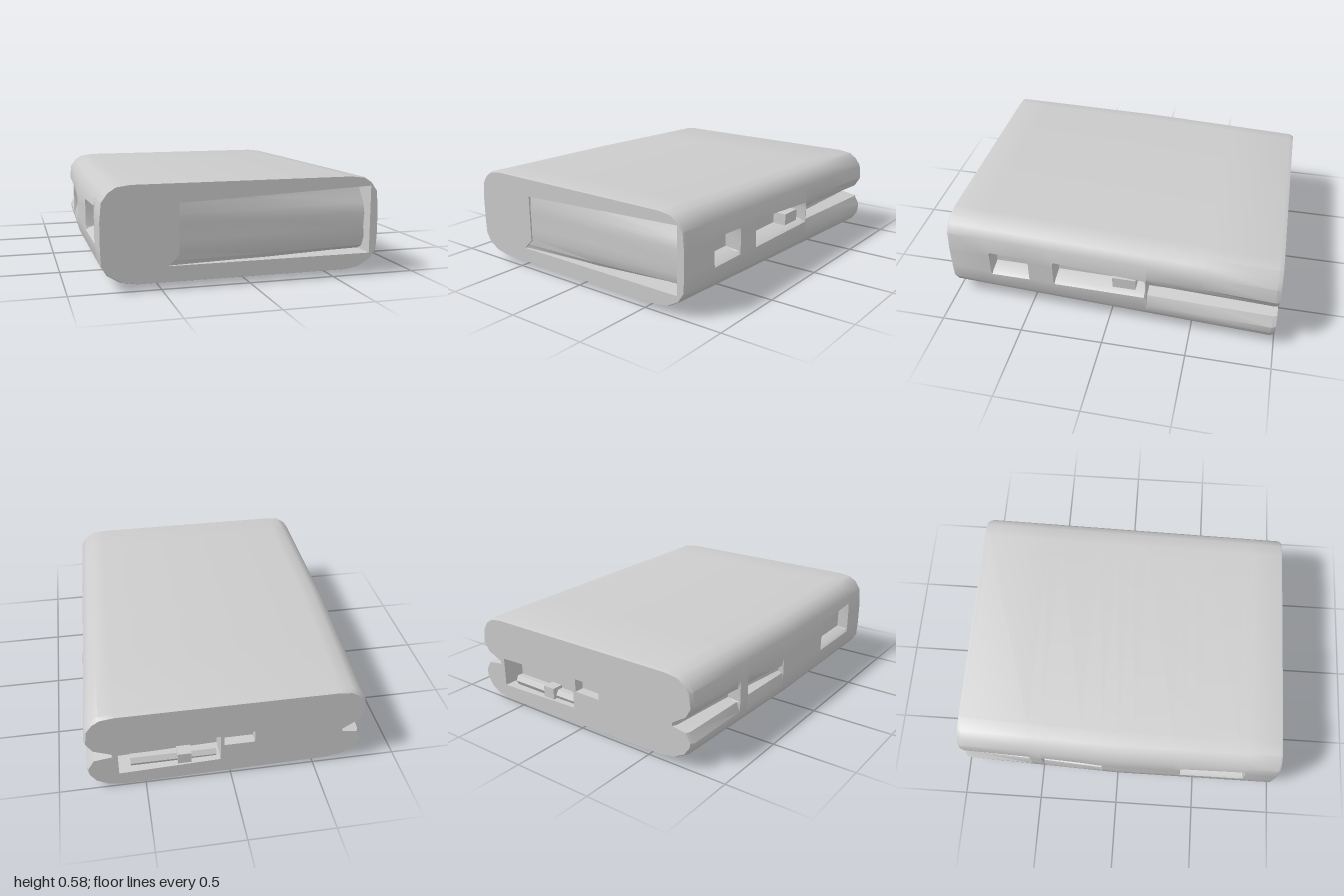
import * as THREE from 'three';
import { toCreasedNormals } from 'three/addons/utils/BufferGeometryUtils.js';

const material = new THREE.MeshStandardMaterial({ color: 0xcccccc, side: THREE.DoubleSide });

// Grooves along each long side: z range, depth at both ends, lower and upper edge.
// A creased groove is a V between two rolls, the others are square slots.
const rightGrooves = [
  { from: 0.74, to: 0.5, d: [0.1, 0.1], lo: [0.23, 0.24], hi: [0.37, 0.37] },
  { from: 0.34, to: -0.22, d: [0.11, 0.11], lo: [0.24, 0.26], hi: [0.38, 0.36] },
  { from: -0.23, to: -1, d: [0.09, 0.14], lo: [0.25, 0.25], hi: [0.34, 0.33], crease: true },
];
const leftGrooves = [
  { from: 0.8, to: 0.4, d: [0.07, 0.07], lo: [0.24, 0.24], hi: [0.42, 0.4] },
  { from: -0.1, to: -0.48, d: [0.03, 0.08], lo: [0.25, 0.24], hi: [0.3, 0.33], crease: true },
  { from: -0.56, to: -1, d: [0.08, 0.12], lo: [0.24, 0.23], hi: [0.33, 0.33], crease: true },
];

const lerp = THREE.MathUtils.lerp;

function grooveAt(list, z) {
  const g = list.find((n) => z <= n.from && z >= n.to);
  if (!g) return { d: 0, lo: 0.24, hi: 0.36, floor: 0.34, round: 0.015 };
  const t = (g.from - z) / (g.from - g.to);
  const lo = lerp(...g.lo, t), hi = lerp(...g.hi, t);
  return {
    d: lerp(...g.d, t), lo, hi,
    floor: g.crease ? lo + 0.035 : hi - 0.015,
    round: g.crease ? 0.06 : 0.015,
  };
}

// One side of the section, from bottom to top, as [distance from centre, y]
function sideProfile(half, { d, lo, hi, floor, round }) {
  return [
    [half - 0.2, 0.03], [half - 0.11, 0.045], [half - 0.04, 0.085], [half - 0.005, 0.14],
    [half, lo - round], [half - d * 0.25, lo], [half - d, lo + 0.015],
    [half - d, floor], [half - d * 0.25, hi], [half, hi + round],
    [half - 0.01, 0.48], [half - 0.045, 0.53], [half - 0.09, 0.56], [half - 0.17, 0.57],
  ];
}

// Complete section at z; the case drops towards the back, its underside mostly at the right
function section(z, inset = 0) {
  const right = sideProfile(Math.min(0.83, 0.8 - 0.03 * z) - inset, grooveAt(rightGrooves, z));
  const left = sideProfile(Math.min(0.83, 0.83 + 0.04 * z) - inset, grooveAt(leftGrooves, z));
  const ring = [...right, ...left.reverse().map(([x, y]) => [-x, y])];
  return ring.map(([x, y]) => {
    const squeezed = 0.3 + (y - 0.3) * (1 - inset * 3);
    const lift = 0.03 * (0.83 - x) / 1.66 * (1 - z) / 2 * (0.57 - y) / 0.54;
    return new THREE.Vector3(x, squeezed + 0.02 * z + lift, z);
  });
}

// Skin between successive rows of points
function loft(rows, closed = true) {
  const pos = [];
  const n = rows[0].length;
  for (let i = 0; i < rows.length - 1; i++) {
    for (let j = 0; j < (closed ? n : n - 1); j++) {
      const k = (j + 1) % n;
      const [a, b, c, d] = [rows[i][j], rows[i + 1][j], rows[i][k], rows[i + 1][k]];
      for (const p of [a, b, c, c, b, d]) pos.push(p.x, p.y, p.z);
    }
  }
  const geo = new THREE.BufferGeometry();
  geo.setAttribute('position', new THREE.Float32BufferAttribute(pos, 3));
  return toCreasedNormals(geo, 0.6);
}

// Flat end face with optional openings cut in it
function face(ring, holes = []) {
  const flat = (pts) => pts.map((p) => new THREE.Vector2(p.x, p.y));
  const shape = new THREE.Shape(flat(ring));
  for (const hole of holes) shape.holes.push(new THREE.Path(flat(hole)));
  return new THREE.ShapeGeometry(shape).translate(0, 0, ring[0].z);
}

const ringOf = (pts, z) => pts.map(([x, y]) => new THREE.Vector3(x, y, z));

export function createModel() {
  const group = new THREE.Group();
  const add = (name, geo) => {
    const mesh = new THREE.Mesh(geo, material);
    mesh.name = name;
    group.add(mesh);
  };

  // Outer case, with a pair of stations wherever a groove starts or stops
  const stops = [0.99, 0.1, 0, -0.975];
  for (const g of [...rightGrooves, ...leftGrooves]) {
    for (const z of [g.from, g.to]) if (z > -1) stops.push(z - 0.003, z + 0.003);
  }
  stops.sort((a, b) => b - a);
  const rings = [section(1, 0.004), ...stops.map((z) => section(z)), section(-1, 0.01)];
  add('case', loft(rings));

  // Front face and its wide opening
  const frontHole = [[-0.46, 0.14], [0.72, 0.14], [0.72, 0.53], [-0.4, 0.48], [-0.4, 0.2]];
  add('frontFace', face(rings[0], [ringOf(frontHole, 1)]));
  add('frontOpeningWalls', loft([ringOf(frontHole, 1), ringOf(frontHole, 0.83)]));

  // Folded filling that sinks towards the right end of the opening
  const fold = (x, depth) => [
    [0.13, 1], [0.165, 0.6], [0.22, 0.45], [0.28, 0.5], [0.36, 0.45], [0.42, 0.55], [0.48, 0.85], [0.54, 1],
  ].map(([y, k]) => new THREE.Vector3(x, y, 1 - depth * k));
  add('frontFilling', loft([fold(-0.5, 0.01), fold(0.1, 0.07), fold(0.73, 0.16)], false));

  // Back face with a deep pocket and a shallow one beside it
  const pockets = [
    { name: 'backPocket', depth: 0.14, pts: [[0.65, 0.11], [0.06, 0.13], [0.06, 0.31], [0.65, 0.29]] },
    { name: 'smallBackPocket', depth: 0.06, pts: [[0.04, 0.24], [-0.14, 0.24], [-0.14, 0.32], [0.04, 0.32]] },
  ];
  add('backFace', face(rings[rings.length - 1], pockets.map((p) => ringOf(p.pts, -1))));
  for (const { name, depth, pts } of pockets) {
    const inner = ringOf(pts, depth - 1);
    add(name + 'Walls', loft([ringOf(pts, -1), inner]));
    add(name + 'Floor', face(inner));
  }

  // Latch bar inside the back pocket and tab inside the right groove
  const latch = new THREE.CylinderGeometry(0.035, 0.035, 0.5, 6).rotateZ(Math.PI / 2);
  add('latchBar', toCreasedNormals(latch.translate(0.33, 0.15, -0.94), 0.4));
  add('latchTab', new THREE.BoxGeometry(0.08, 0.07, 0.07).translate(0.27, 0.165, -0.96));
  add('sideTab', new THREE.BoxGeometry(0.09, 0.07, 0.14).translate(0.73, 0.3, -0.09));

  return group;
}
